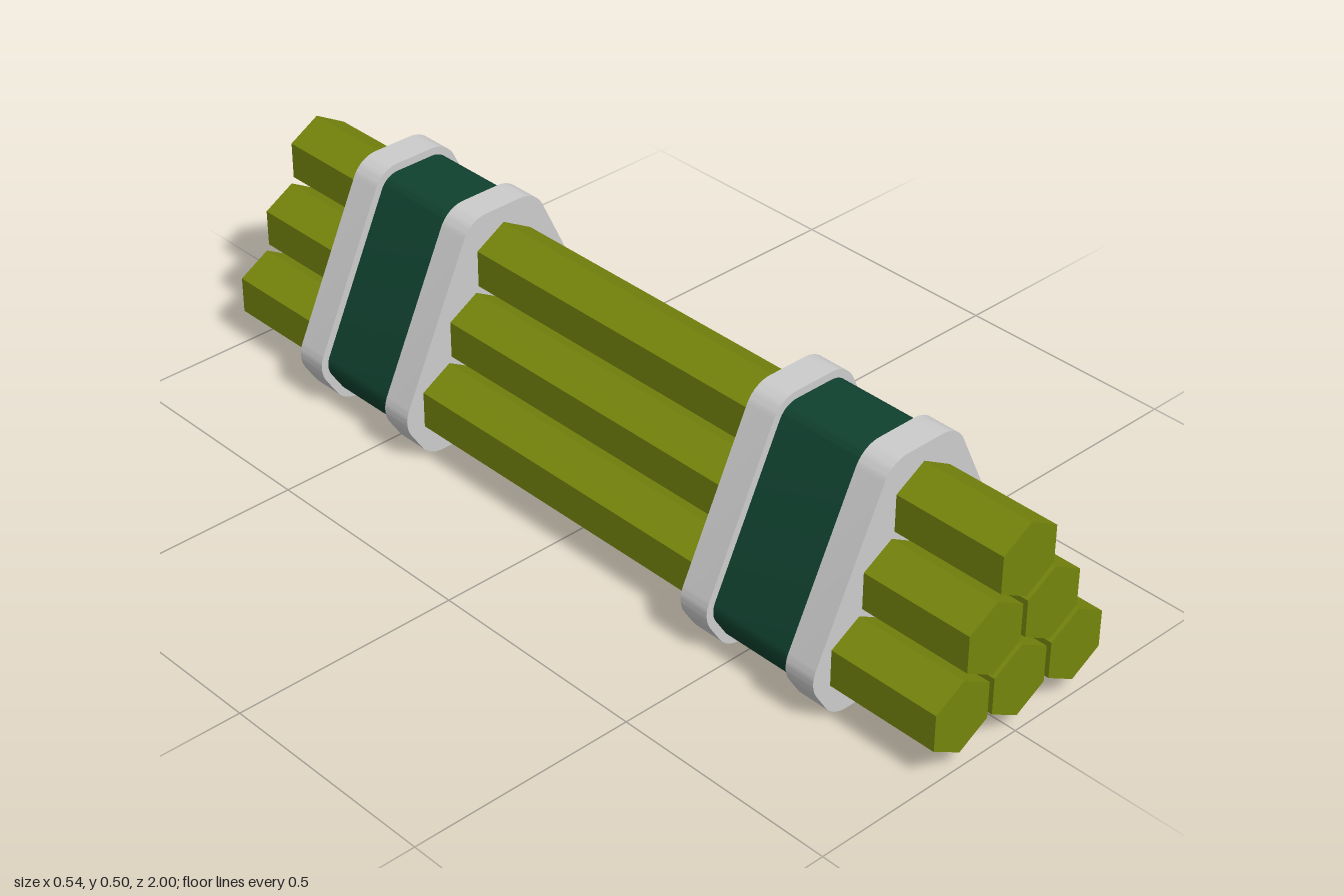
import * as THREE from 'three';
import { toCreasedNormals } from 'three/addons/utils/BufferGeometryUtils.js';

const olive = new THREE.MeshStandardMaterial({ color: 0x75850c, flatShading: true });
const green = new THREE.MeshStandardMaterial({ color: 0x10412f });
const grey = new THREE.MeshStandardMaterial({ color: 0xcccccc });

// Rounded six-cornered outline: an arc of the given radius around each corner centre
function outline(radius) {
  const half = [[0.178, 0.066], [0.203, 0.105], [0.045, 0.44]];
  const centres = [...half, ...half.map(([x, y]) => [-x, y]).reverse()];
  const n = centres.length;
  const normalAngle = (a, b) => Math.atan2(-(b[0] - a[0]), b[1] - a[1]);
  const shape = new THREE.Shape();
  centres.forEach((c, i) => {
    const start = normalAngle(centres[(i + n - 1) % n], c);
    const end = normalAngle(c, centres[(i + 1) % n]);
    shape.absarc(c[0], c[1], radius, start, end, false);
  });
  return shape;
}

// Slab of the outline between two depths
function slab(name, radius, z0, z1, material) {
  const geo = new THREE.ExtrudeGeometry(outline(radius), {
    depth: z1 - z0, bevelEnabled: false, curveSegments: 5,
  });
  geo.translate(0, 0, z0);
  const mesh = new THREE.Mesh(toCreasedNormals(geo, 0.7), material);
  mesh.name = name;
  return mesh;
}

export function createModel() {
  const model = new THREE.Group();
  model.name = 'rodBundle';

  // Six hexagonal rods stacked 3-2-1, points up
  const rodGeo = new THREE.CylinderGeometry(0.081, 0.081, 2, 6).rotateX(Math.PI / 2);
  for (let row = 0; row < 3; row++) {
    for (let i = 0; i < 3 - row; i++) {
      const rod = new THREE.Mesh(rodGeo, olive);
      rod.name = 'rod';
      rod.position.set((i - (2 - row) / 2) * 0.153, 0.118 + row * 0.1345, 0);
      model.add(rod);
    }
  }

  // Two clamps, each a green band between two grey collars
  for (const [name, centre] of [['frontClamp', 0.572], ['rearClamp', -0.572]]) {
    const clamp = new THREE.Group();
    clamp.name = name;
    clamp.add(
      slab('band', 0.048, -0.103, 0.103, green),
      slab('frontCollar', 0.065, 0.103, 0.173, grey),
      slab('rearCollar', 0.065, -0.173, -0.103, grey),
    );
    clamp.position.z = centre;
    model.add(clamp);
  }

  // Rest the collars on the ground
  model.position.y = -0.001;
  return model;
}
